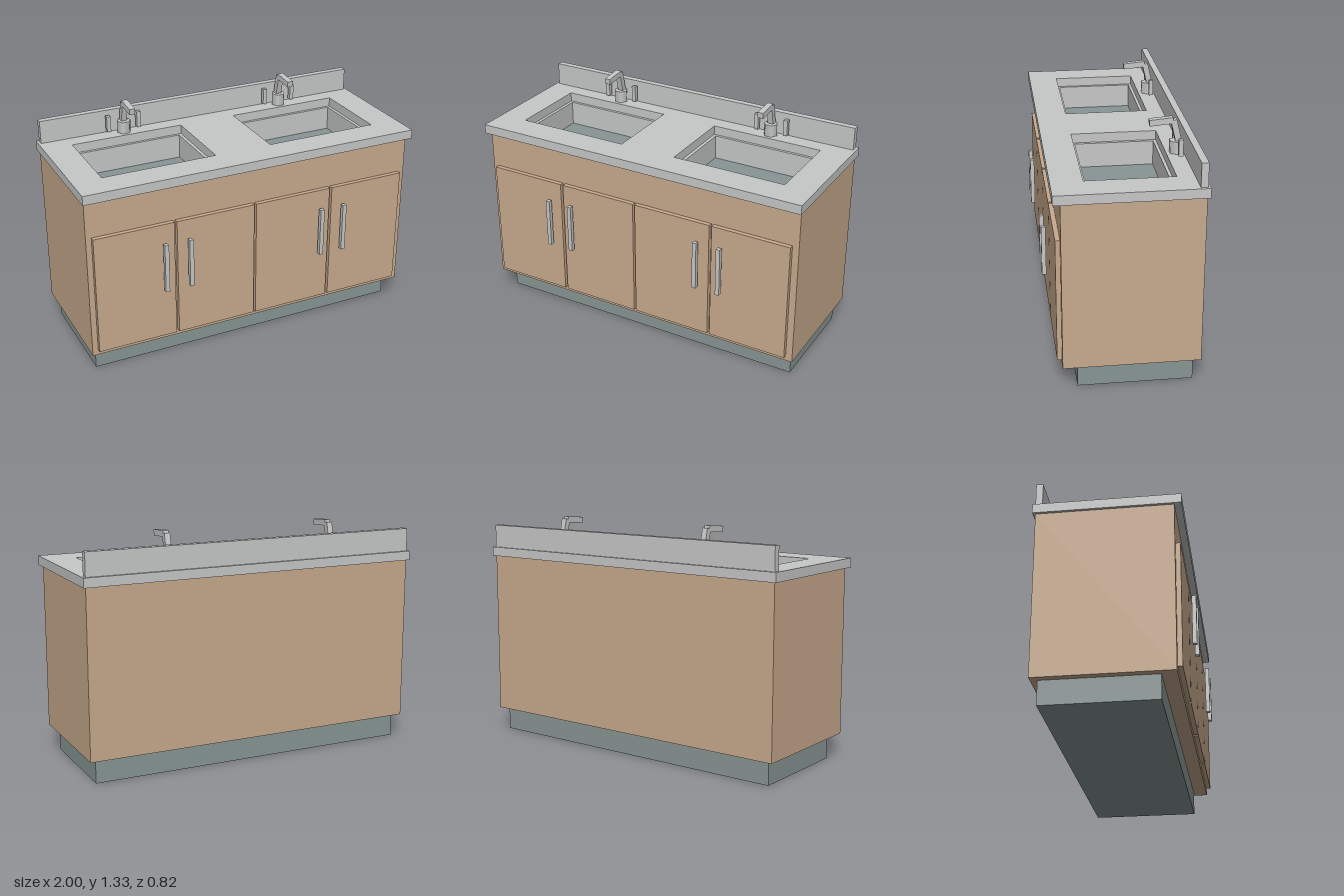
import * as THREE from 'three';

const wood = new THREE.MeshStandardMaterial({ color: 0xc8aa8d });
wood.name = 'wood';
const grey = new THREE.MeshStandardMaterial({ color: 0xc6c8c7 });
grey.name = 'light grey';
const slate = new THREE.MeshStandardMaterial({ color: 0x889694 });
slate.name = 'slate green';

function add(parent, name, geometry, material) {
  const mesh = new THREE.Mesh(geometry, material);
  mesh.name = name;
  parent.add(mesh);
  return mesh;
}

// Box given by its limits on each axis
function box(parent, name, material, [x0, x1], [y0, y1], [z0, z1]) {
  const mesh = add(parent, name, new THREE.BoxGeometry(x1 - x0, y1 - y0, z1 - z0), material);
  mesh.position.set((x0 + x1) / 2, (y0 + y1) / 2, (z0 + z1) / 2);
  return mesh;
}

// Square bar between two points in the yz plane
function bar(parent, name, material, x, [y0, z0], [y1, z1], size) {
  const length = Math.hypot(y1 - y0, z1 - z0);
  const mesh = add(parent, name, new THREE.BoxGeometry(size, length, size), material);
  mesh.position.set(x, (y0 + y1) / 2, (z0 + z1) / 2);
  mesh.rotation.x = Math.atan2(z1 - z0, y1 - y0);
  return mesh;
}

// Rectangle in plan; shape y is -z so that the extrusion can be turned upright
function outline(path, [x0, x1], [z0, z1]) {
  path.moveTo(x0, -z1);
  path.lineTo(x1, -z1);
  path.lineTo(x1, -z0);
  path.lineTo(x0, -z0);
  path.closePath();
  return path;
}

// Upright slab with rectangular holes through it
function slab(parent, name, material, xs, [y0, y1], zs, holes) {
  const shape = outline(new THREE.Shape(), xs, zs);
  for (const [hx, hz] of holes) shape.holes.push(outline(new THREE.Path(), hx, hz));
  const geometry = new THREE.ExtrudeGeometry(shape, { depth: y1 - y0, bevelEnabled: false });
  geometry.rotateX(-Math.PI / 2);
  geometry.translate(0, y0, 0);
  return add(parent, name, geometry, material);
}

export function createModel() {
  const group = new THREE.Group();
  group.name = 'doubleSinkCabinet';

  // Plinth and hollow cabinet body
  box(group, 'plinth', slate, [-0.945, 0.945], [0, 0.137], [-0.36, 0.26]);
  slab(group, 'cabinetBody', wood, [-0.985, 0.985], [0.135, 1.08], [-0.397, 0.34],
    [[[-0.9, 0.9], [-0.32, 0.24]]]);

  // Doors
  for (const xs of [[-0.953, -0.492], [-0.476, -0.009], [0.004, 0.471], [0.486, 0.947]]) {
    box(group, 'door', wood, xs, [0.167, 0.865], [0.33, 0.366]);
  }

  // Door handles
  for (const x of [-0.557, -0.411, 0.405, 0.55]) {
    box(group, 'doorHandle', grey, [x - 0.012, x + 0.012], [0.473, 0.76], [0.388, 0.412]);
  }

  // Countertop with two openings, and the splashback
  const sinks = [-0.5025, 0.4975];
  const holeZ = [-0.267, 0.209];
  slab(group, 'countertop', grey, [-1, 1], [1.08, 1.133], [-0.411, 0.379],
    sinks.map((x) => [[x - 0.331, x + 0.331], holeZ]));
  box(group, 'splashback', grey, [-0.985, 0.985], [1.133, 1.265], [-0.398, -0.36]);

  for (const x of sinks) {
    // Basin: walls with a narrow ledge under the countertop, and the floor
    const sink = new THREE.Group();
    sink.name = 'sink';
    group.add(sink);
    slab(sink, 'basinWalls', grey, [x - 0.335, x + 0.335], [0.93, 1.08], [-0.271, 0.213],
      [[[x - 0.312, x + 0.312], [-0.25, 0.19]]]);
    box(sink, 'basinFloor', slate, [x - 0.32, x + 0.32], [0.92, 0.94], [-0.258, 0.198]);

    // Tap: six-sided base, leaning riser and spout
    const tap = new THREE.Group();
    tap.name = 'tap';
    group.add(tap);
    const base = add(tap, 'tapBase', new THREE.CylinderGeometry(0.04, 0.04, 0.07, 6), grey);
    base.position.set(x, 1.167, -0.322);
    base.rotation.y = Math.PI / 6;
    bar(tap, 'tapRiser', grey, x, [1.18, -0.337], [1.318, -0.305], 0.033);
    bar(tap, 'tapSpout', grey, x, [1.306, -0.175], [1.317, -0.302], 0.034);

    // Tap levers on both sides
    for (const dx of [-0.091, 0.091]) {
      box(tap, 'tapLever', grey, [x + dx - 0.012, x + dx + 0.012], [1.147, 1.24], [-0.343, -0.318]);
    }
  }
  return group;
}
